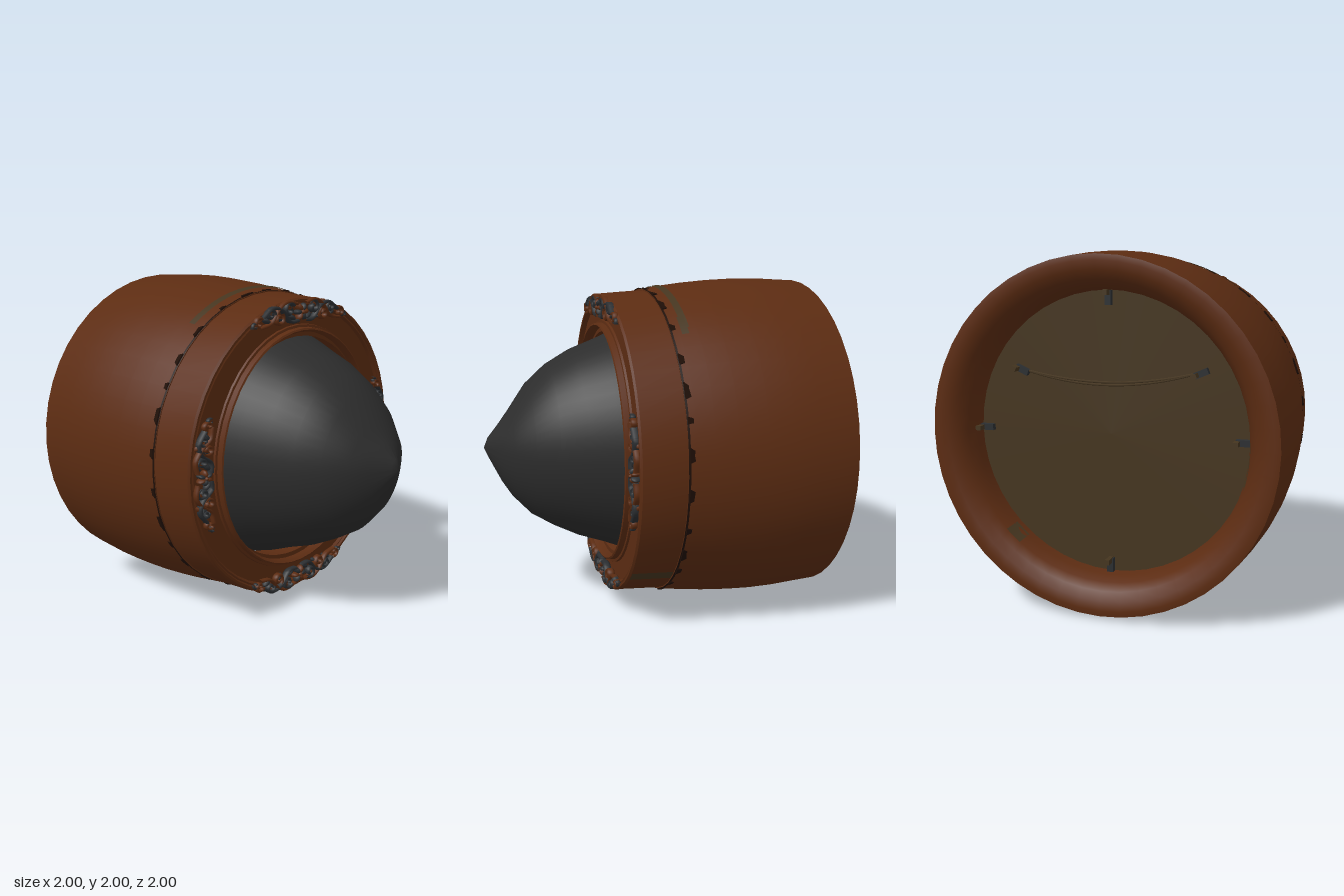
import * as THREE from 'three';
import { toCreasedNormals } from 'three/addons/utils/BufferGeometryUtils.js';

const mat = (name, color, side = THREE.FrontSide) => {
  const m = new THREE.MeshStandardMaterial({ color, side });
  m.name = name;
  return m;
};

export function createModel() {
  const brown = mat('warm brown', 0x5c2c12);
  const black = mat('dome black', 0x2c2c2c, THREE.DoubleSide);
  const tan = mat('dull tan', 0x45351f, THREE.DoubleSide);
  const slate = mat('dark slate', 0x2b2e31);
  const shade = mat('seam brown', 0x1f0f07, THREE.DoubleSide);

  const model = new THREE.Group();
  model.name = 'domedDrum';
  const body = new THREE.Group();
  body.name = 'body';
  body.position.y = 1; // the axis runs along z at y = 1
  model.add(body);

  const add = (name, geo, material, parent = body) => {
    const mesh = new THREE.Mesh(geo, material);
    mesh.name = name;
    parent.add(mesh);
    return mesh;
  };

  // Turned shape about z from [radius, z] pairs; angle 0 is at the bottom
  const turned = (profile, crease = 0.6, start = 0, sweep = Math.PI * 2, sides = 48) => {
    const geo = new THREE.LatheGeometry(profile.map(p => new THREE.Vector2(...p)), sides, start, sweep);
    geo.rotateX(Math.PI / 2);
    return toCreasedNormals(geo, crease);
  };

  // Bulging barrel with a rounded, recessed lip at the back
  add('barrel', turned([
    [0.79, -0.76], [0.795, -0.84], [0.815, -0.91], [0.85, -0.96], [0.9, -0.99], [0.95, -1],
    [0.983, -0.993], [0.99, -0.87], [0.998, -0.75], [1, -0.6], [0.994, -0.45], [0.98, -0.28],
    [0.965, -0.15], [0.95, -0.05], [0.943, 0], [0.88, 0],
  ], 0.8), brown);

  // Collar with a raised outer rim and a sunken front face
  add('collar', turned([
    [0.9, -0.01], [0.937, 0], [0.922, 0.25], [0.912, 0.262], [0.898, 0.262], [0.89, 0.25],
    [0.88, 0.254], [0.868, 0.237], [0.69, 0.237],
  ]), brown);

  // Oval bead round the opening
  const bead = add('openingRing', turned([
    [0.765, 0.23], [0.76, 0.25], [0.745, 0.252], [0.742, 0.285], [0.732, 0.29], [0.724, 0.275],
    [0.718, 0.265], [0.718, 0.05],
  ]), brown);
  bead.scale.x = 0.935;

  // Pointed dome: [z, half width, height above axis, depth below axis]
  const rows = [
    [0.05, 0.675, 0.725, 0.725], [0.17, 0.635, 0.69, 0.69], [0.29, 0.59, 0.64, 0.64],
    [0.45, 0.527, 0.58, 0.585], [0.6, 0.455, 0.495, 0.51], [0.73, 0.372, 0.38, 0.43],
    [0.84, 0.268, 0.22, 0.31], [0.9, 0.17, 0.145, 0.215], [0.975, 0.04, 0.06, 0.06], [1, 0, 0, 0],
  ];
  const domeGeo = new THREE.LatheGeometry(rows.map(r => new THREE.Vector2(1, r[0])), 48);
  const pos = domeGeo.attributes.position;
  for (let i = 0; i < pos.count; i++) {
    const [z, w, up, down] = rows[i % rows.length];
    const s = pos.getX(i), c = -pos.getZ(i);
    pos.setXYZ(i, s * w, c * (c > 0 ? up : down) + 0.01, z);
  }
  add('dome', toCreasedNormals(domeGeo, 1), black);

  // Back panel
  const panel = add('backPanel', new THREE.CircleGeometry(0.8, 48), tan);
  panel.rotation.y = Math.PI;
  panel.position.z = -0.78;

  // Dark notches along the seam
  const notch = new THREE.Shape([[-0.045, 0], [0.045, 0], [0.03, 0.045], [-0.012, 0.05]]
    .map(p => new THREE.Vector2(...p)));
  const notchGeo = new THREE.ExtrudeGeometry(notch, { depth: 0.008, bevelEnabled: false });
  notchGeo.rotateX(-Math.PI / 2);
  for (let i = 0; i < 30; i++) {
    const holder = new THREE.Group();
    holder.name = 'seamNotch' + i;
    holder.rotation.z = (i / 30) * Math.PI * 2 + 0.03 * Math.sin(i * 5);
    const n = add('seamNotch', notchGeo, shade, holder);
    n.position.set(0, 0.944, -0.005);
    n.rotation.x = -0.17;
    n.scale.x = 0.8 + 0.35 * Math.sin(i * 2.3);
    body.add(holder);
  }
  add('seamLine', turned([[0.9465, -0.012], [0.945, 0]]), shade);

  // Worn tan patches on the seam, collar and lip: centre angle from the top
  const patch = (name, profile, angle, sweep) =>
    add(name, turned(profile, 0.6, Math.PI - angle - sweep / 2, sweep, 16), tan);
  patch('topPatch', [[0.966, -0.11], [0.958, -0.07]], 0.02, 1.25);
  patch('sidePatch', [[0.964, -0.1], [0.957, -0.06]], 0.62, 0.15);
  patch('collarPatch', [[0.94, 0.005], [0.926, 0.25]], 2.35, 0.09);
  patch('lipPatchLow', [[0.812, -0.92], [0.79, -0.82]], 2.4, 0.13);
  patch('lipPatchSide', [[0.812, -0.92], [0.79, -0.82]], -1.7, 0.3);

  // Flat curl from a centre, outer radius and angles
  const curl = (cx, cy, r, a0, turn, thick) => {
    const pts = [];
    for (let i = 0; i <= 14; i++) {
      const t = i / 14, a = a0 + turn * t, q = r * (1 - 0.75 * t);
      pts.push(new THREE.Vector3(cx + q * Math.cos(a), cy + q * Math.sin(a), 0));
    }
    return new THREE.TubeGeometry(new THREE.CatmullRomCurve3(pts), 28, thick, 6);
  };
  const stem = (list, thick) => new THREE.TubeGeometry(
    new THREE.CatmullRomCurve3(list.map(p => new THREE.Vector3(p[0], p[1], 0))), 20, thick, 6);

  // Half of a scroll ornament, mirrored for the other half
  const halfParts = [
    ['curl', curl(0.11, 0.02, 0.045, 2.6, -7, 0.011), slate],
    ['curl', curl(0.2, -0.025, 0.04, 2.2, 7, 0.011), brown],
    ['curl', curl(0.27, 0.005, 0.035, 3.2, -7, 0.01), slate],
    ['curl', curl(0.37, -0.035, 0.035, 2.4, -6, 0.009), brown],
    ['curl', curl(0.4, -0.05, 0.022, -0.5, 6, 0.007), slate],
    ['stem', stem([[0.03, -0.05], [0.1, -0.05], [0.17, 0.02], [0.25, 0.04], [0.34, -0.01]], 0.011), slate],
    ['stem', stem([[0.04, 0.05], [0.13, 0.065], [0.2, 0.03], [0.27, -0.045], [0.36, -0.065]], 0.01), brown],
  ];
  const leafGeo = new THREE.SphereGeometry(1, 10, 6);
  const ornament = (name, angle, radius, size) => {
    const g = new THREE.Group();
    g.name = name;
    g.rotation.z = angle;
    g.position.set(-Math.sin(angle) * radius, Math.cos(angle) * radius, 0.266);
    g.scale.set(size, 1, 2.3);
    for (const side of [1, -1]) {
      const half = new THREE.Group();
      half.name = 'scrollHalf';
      half.scale.x = side;
      halfParts.forEach(([n, geo, m]) => add(n, geo, m, half));
      // Leaves between the curls
      for (let i = 0; i < 5; i++) {
        const leaf = add('leaf', leafGeo, i % 2 ? brown : slate, half);
        leaf.position.set(0.07 + i * 0.055, i % 2 ? 0.035 : -0.03, -0.006);
        leaf.scale.set(0.036, 0.016, 0.011);
        leaf.rotation.z = i % 2 ? -0.6 : 0.5;
      }
      g.add(half);
    }
    // Centre rosette
    for (let i = 0; i < 6; i++) {
      const a = (i / 6) * Math.PI * 2;
      const petal = add('petal', leafGeo, i % 2 ? slate : brown, g);
      petal.position.set(0.03 * Math.cos(a), 0.03 * Math.sin(a), 0);
      petal.rotation.z = a;
      petal.scale.set(0.028, 0.015, 0.013);
    }
    add('rosetteCentre', leafGeo, brown, g).scale.set(0.016, 0.016, 0.016);
    body.add(g);
  };
  ornament('topOrnament', 0, 0.84, 1);
  ornament('bottomOrnament', Math.PI, 0.84, 1);
  ornament('leftOrnament', -Math.PI / 2, 0.81, 0.78);
  ornament('rightOrnament', Math.PI / 2, 0.81, 0.78);

  // Small clips and a sagging cord on the back panel
  const clip = (name, x, y, angle) => {
    const g = new THREE.Group();
    g.name = name;
    g.position.set(x, y, -0.8);
    g.rotation.z = angle;
    add('clipPlate', new THREE.BoxGeometry(0.08, 0.035, 0.03), slate, g);
    const tab = add('clipTab', new THREE.BoxGeometry(0.03, 0.025, 0.07), tan, g);
    tab.position.set(0.03, 0, -0.03);
    body.add(g);
  };
  clip('topClip', 0, 0.75, Math.PI / 2);
  clip('bottomClip', 0, -0.75, Math.PI / 2);
  clip('leftClip', 0.75, 0, 0);
  clip('rightClip', -0.75, 0, 0);
  clip('leftCordClip', 0.52, 0.34, 0.4);
  clip('rightCordClip', -0.52, 0.36, -0.4);
  for (const sag of [0.2, 0.23]) {
    const cord = new THREE.QuadraticBezierCurve3(
      new THREE.Vector3(0.5, 0.34, -0.8), new THREE.Vector3(0, sag, -0.8), new THREE.Vector3(-0.5, 0.36, -0.8));
    add('cord', new THREE.TubeGeometry(cord, 20, 0.007, 6), tan);
  }
  return model;
}
